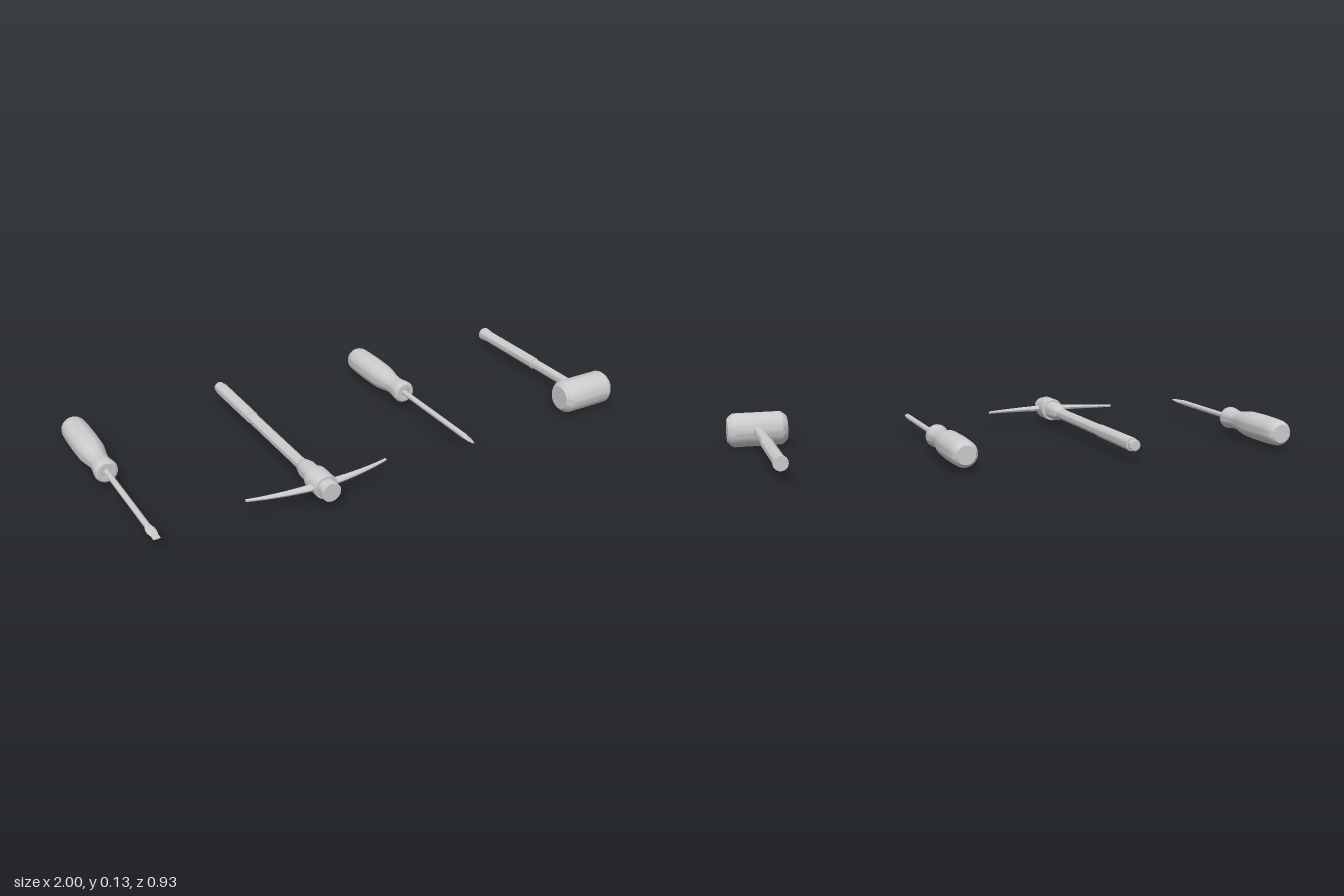
import * as THREE from 'three';
import { toCreasedNormals } from 'three/addons/utils/BufferGeometryUtils.js';

const material = new THREE.MeshStandardMaterial({ color: 0xcccccc });
const AXIS_Y = 0.066;

function mesh(name, geometry, crease = 0.55) {
  const m = new THREE.Mesh(toCreasedNormals(geometry, crease), material);
  m.name = name;
  return m;
}

// Turned part along z; profile is a list of [z, radius] from back to front
function turned(name, profile, segments = 24) {
  const points = profile.map(([z, r]) => new THREE.Vector2(r, z));
  return mesh(name, new THREE.LatheGeometry(points, segments).rotateX(Math.PI / 2));
}

// Move every vertex of a geometry by a rule
function reshape(geometry, rule) {
  const p = geometry.attributes.position;
  const v = new THREE.Vector3();
  for (let i = 0; i < p.count; i++) {
    rule(v.fromBufferAttribute(p, i));
    p.setXYZ(i, v.x, v.y, v.z);
  }
  return geometry;
}

function tool(name, x, ...parts) {
  const g = new THREE.Group();
  g.name = name;
  g.position.set(x, AXIS_Y, 0);
  g.add(...parts);
  return g;
}

// Flat blade: widens sideways while thinning to a chisel edge
function flatTip() {
  const g = new THREE.CylinderGeometry(1, 1, 0.085, 16, 8).rotateX(Math.PI / 2);
  return mesh('flatTip', reshape(g, (v) => {
    v.z += 0.3825;
    const t = (v.z - 0.34) / 0.085;
    v.x *= 0.010 + 0.006 * Math.sin(Math.PI * Math.min(1, t * 1.3)) + 0.003 * t;
    v.y *= THREE.MathUtils.lerp(0.010, 0.0025, t);
  }));
}

// Cross tip: four flutes deepening towards a blunt point
function crossTip() {
  const g = new THREE.CylinderGeometry(1, 1, 0.06, 24, 6).rotateX(Math.PI / 2);
  return mesh('crossTip', reshape(g, (v) => {
    v.z += 0.39;
    const t = (v.z - 0.36) / 0.06;
    const flute = 1 - 0.5 * Math.min(1, t * 2) * Math.sin(2 * Math.atan2(v.y, v.x)) ** 2;
    const r = 0.0105 * flute * (t < 0.5 ? 1 : 1 - 1.3 * (t - 0.5));
    v.x *= r;
    v.y *= r;
  }));
}

function screwdriver(name, x, tip, tipStart, back) {
  const handle = turned('handle', [
    [back, 0], [back, 0.034], [back + 0.006, 0.041], [back + 0.016, 0.046],
    [-0.408, 0.048], [-0.37, 0.05], [-0.29, 0.051], [-0.21, 0.049], [-0.17, 0.042],
    [-0.14, 0.037], [-0.12, 0.036], [-0.095, 0.038], [-0.07, 0.042], [-0.056, 0.043],
    [-0.047, 0.04], [-0.043, 0.034], [-0.043, 0.02], [-0.05, 0.018], [-0.05, 0],
  ], 32);
  const shaft = turned('shaft', [[-0.06, 0.0105], [tipStart, 0.0105]], 16);
  return tool(name, x, handle, shaft, tip);
}

function pickaxe() {
  const handle = turned('handle', [
    [-0.464, 0], [-0.464, 0.017], [-0.46, 0.021], [-0.446, 0.021], [-0.443, 0.017],
    [-0.439, 0.017], [-0.439, 0.024], [-0.427, 0.025], [-0.16, 0.024],
    [-0.16, 0.0215], [0.27, 0.0215],
  ]);
  const socket = turned('socket', [
    [0.245, 0.0215], [0.255, 0.027], [0.285, 0.034], [0.342, 0.035],
  ]);
  const hub = turned('hub', [
    [0.342, 0], [0.342, 0.042], [0.346, 0.045], [0.42, 0.045], [0.425, 0.043],
    [0.425, 0.036], [0.46, 0.036], [0.462, 0.034], [0.462, 0],
  ]);
  // Curved arms: one bar tapering to both ends and bent backwards
  const half = 0.273;
  const bar = new THREE.CylinderGeometry(1, 1, half * 2, 8, 32).rotateZ(Math.PI / 2);
  const arms = mesh('arms', reshape(bar, (v) => {
    const u = Math.abs(v.x) / half;
    v.y *= THREE.MathUtils.lerp(0.013, 0.005, u);
    v.z = 0.4 - 0.038 * u * u + v.z * THREE.MathUtils.lerp(0.018, 0.005, u);
  }));
  return tool('pickaxe', -0.338, handle, socket, hub, arms);
}

function mallet() {
  const handle = turned('handle', [
    [-0.36, 0], [-0.36, 0.026], [-0.352, 0.027], [-0.32, 0.023], [-0.005, 0.023],
    [-0.005, 0.0195], [0.27, 0.0195],
  ]);
  const head = turned('head', [
    [-0.112, 0], [-0.112, 0.045], [-0.103, 0.055], [-0.092, 0.063], [-0.086, 0.0645],
    [0.086, 0.0645], [0.092, 0.063], [0.103, 0.055], [0.112, 0.045], [0.112, 0],
  ], 40);
  head.rotation.y = Math.PI / 2;
  head.position.z = 0.294;
  return tool('mallet', 0.886, handle, head).translateX(0);
}

export function createModel() {
  const model = new THREE.Group();
  model.name = 'handTools';
  model.add(
    screwdriver('flatScrewdriver', -0.949, flatTip(), 0.345, -0.435),
    pickaxe(),
    screwdriver('crossScrewdriver', 0.274, crossTip(), 0.365, -0.43),
    mallet(),
  );
  return model;
}
